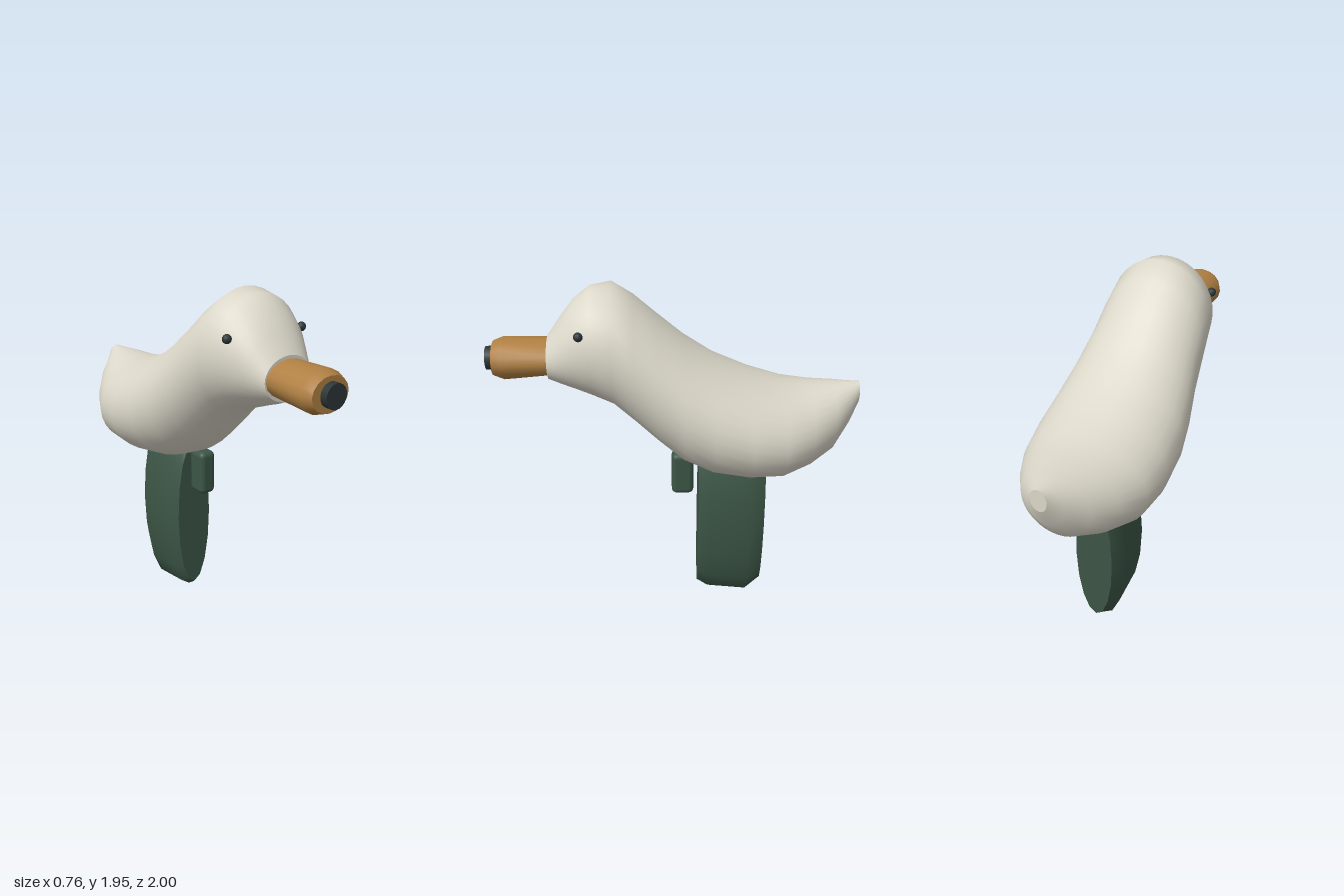
import * as THREE from 'three';
import { RoundedBoxGeometry } from 'three/addons/geometries/RoundedBoxGeometry.js';

const material = (name, color) => {
  const m = new THREE.MeshStandardMaterial({ color });
  m.name = name;
  return m;
};

// Closed loft through elliptical sections [z, top, bottom, halfWidth], listed front to back
function loft(sections, sides) {
  const pos = [], index = [];
  const ring = ([z, top, bottom, hw]) => {
    const first = pos.length / 3;
    for (let j = 0; j < sides; j++) {
      const a = (j / sides) * Math.PI * 2;
      pos.push(hw * Math.cos(a), (top + bottom) / 2 + ((top - bottom) / 2) * Math.sin(a), z);
    }
    return first;
  };
  const starts = sections.map(ring);
  for (let i = 0; i < starts.length - 1; i++) {
    for (let j = 0; j < sides; j++) {
      const k = (j + 1) % sides;
      const a = starts[i] + j, b = starts[i] + k;
      const c = starts[i + 1] + j, d = starts[i + 1] + k;
      index.push(a, c, b, b, c, d);
    }
  }
  // flat end caps with their own vertices, so the rims stay sharp
  const front = ring(sections[0]);
  const back = ring(sections[sections.length - 1]);
  for (let j = 1; j < sides - 1; j++) {
    index.push(front, front + j, front + j + 1);
    index.push(back, back + j + 1, back + j);
  }
  const g = new THREE.BufferGeometry();
  g.setAttribute('position', new THREE.Float32BufferAttribute(pos, 3));
  g.setIndex(index);
  g.computeVertexNormals();
  return g;
}

export function createModel() {
  const group = new THREE.Group();
  group.name = 'duckShapedBlaster';
  const cream = material('cream', 0xdcd8ca);
  const orange = material('ochre', 0xb08043);
  const green = material('dark green', 0x3c5646);
  const dark = material('charcoal', 0x2d3638);

  const add = (name, geometry, mat, x = 0, y = 0, z = 0) => {
    const mesh = new THREE.Mesh(geometry, mat);
    mesh.name = name;
    mesh.position.set(x, y, z);
    group.add(mesh);
    return mesh;
  };

  // Head, neck, body and tail in one smooth skin
  add('body', loft([
    [0.67, 1.67, 1.44, 0.145],
    [0.60, 1.77, 1.41, 0.185],
    [0.53, 1.86, 1.385, 0.225],
    [0.44, 1.93, 1.35, 0.265],
    [0.33, 1.95, 1.30, 0.29],
    [0.22, 1.88, 1.20, 0.305],
    [0.10, 1.775, 1.085, 0.32],
    [-0.04, 1.655, 0.965, 0.35],
    [-0.20, 1.545, 0.895, 0.375],
    [-0.40, 1.455, 0.865, 0.38],
    [-0.58, 1.40, 0.868, 0.353],
    [-0.73, 1.385, 0.92, 0.28],
    [-0.86, 1.388, 1.0, 0.19],
    [-0.95, 1.388, 1.14, 0.095],
    [-1.0, 1.388, 1.26, 0.045],
  ], 32), cream);

  // Beak with a bevelled front and a round muzzle
  add('beak', loft([
    [0.96, 1.64, 1.46, 0.113],
    [0.905, 1.66, 1.44, 0.138],
    [0.62, 1.653, 1.465, 0.138],
  ], 16), orange);
  add('muzzle', new THREE.CylinderGeometry(0.063, 0.063, 0.06, 20).rotateX(Math.PI / 2),
    dark, 0, 1.55, 0.97);

  // Lens-shaped grip with bevelled front and back
  add('grip', loft([
    [-0.13, 0.99, 0.07, 0.11],
    [-0.19, 1.03, 0.027, 0.143],
    [-0.42, 1.06, 0.0, 0.155],
    [-0.51, 0.98, 0.08, 0.11],
  ], 16), green);

  add('trigger', new RoundedBoxGeometry(0.1, 0.255, 0.125, 3, 0.03), green, 0, 0.842, -0.04);

  for (const side of [1, -1]) {
    add(side > 0 ? 'leftEye' : 'rightEye', new THREE.SphereGeometry(0.024, 12, 8),
      dark, side * 0.233, 1.745, 0.49);
  }
  return group;
}
